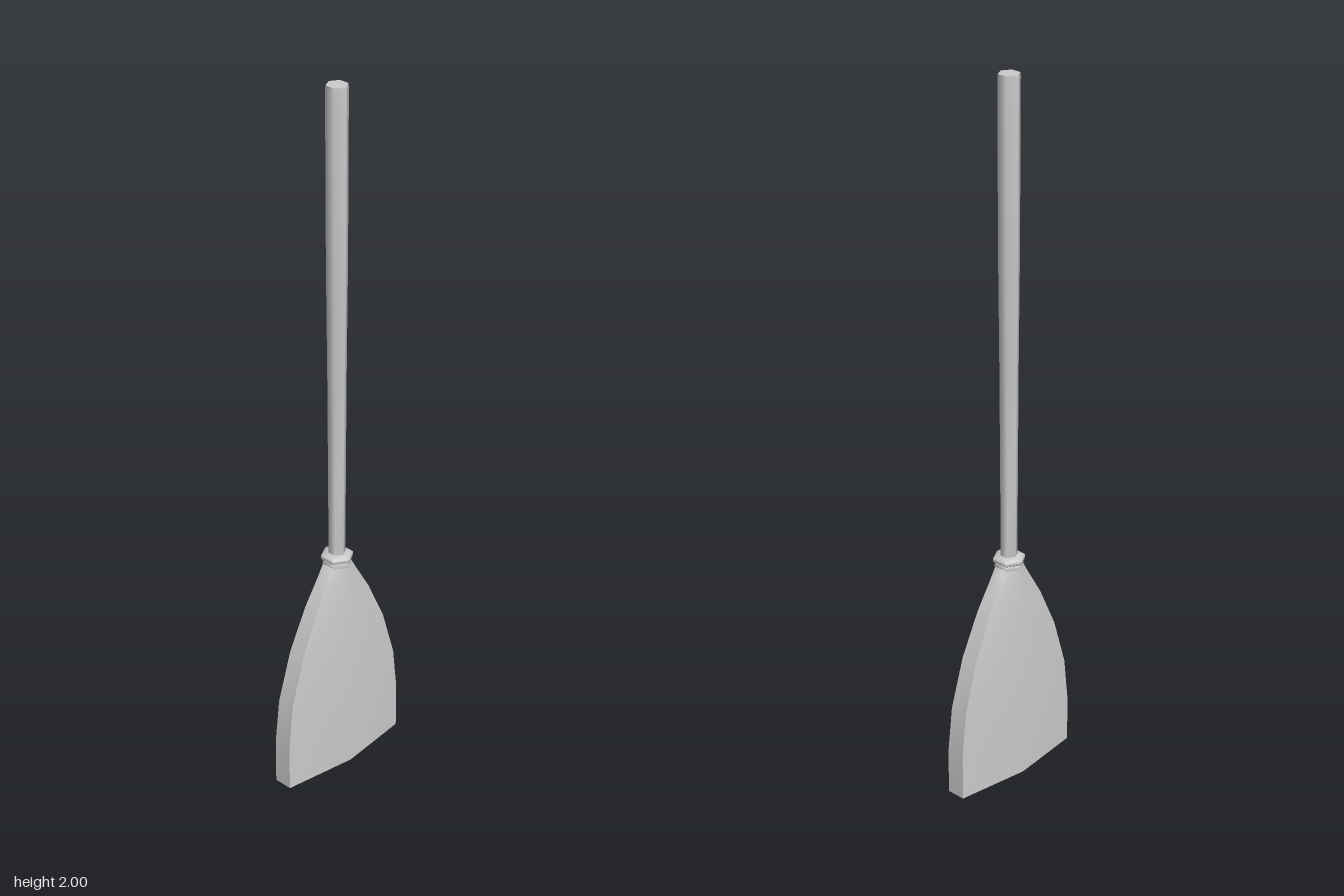
import * as THREE from 'three';
import { toCreasedNormals } from 'three/addons/utils/BufferGeometryUtils.js';

// Skins six-sided sections [y, halfWidth, ridgeDepth, cornerDepth], listed bottom to top.
function loftHex(sections) {
  const pos = [], idx = [];
  for (const [y, w, d, c] of sections) {
    pos.push(0, y, d, w, y, c, w, y, -c, 0, y, -d, -w, y, -c, -w, y, c);
  }
  for (let s = 0; s < sections.length - 1; s++) {
    for (let i = 0; i < 6; i++) {
      const a = s * 6 + i, b = s * 6 + (i + 1) % 6;
      idx.push(a, b, b + 6, a, b + 6, a + 6);
    }
  }
  // end caps
  const top = (sections.length - 1) * 6;
  for (let i = 1; i < 5; i++) {
    idx.push(0, i + 1, i);
    idx.push(top, top + i, top + i + 1);
  }
  const g = new THREE.BufferGeometry();
  g.setAttribute('position', new THREE.Float32BufferAttribute(pos, 3));
  g.setIndex(idx);
  return toCreasedNormals(g, 1.15);
}

// Regular hexagon section with its points towards front and back
const hex = (y, r) => [y, r * 0.866, r, r * 0.5];

export function createModel() {
  const group = new THREE.Group();
  const material = new THREE.MeshStandardMaterial({ color: 0xcccccc });
  const add = (name, sections) => {
    const mesh = new THREE.Mesh(loftHex(sections), material);
    mesh.name = name;
    group.add(mesh);
  };

  // slightly tapered stick
  add('handle', [hex(0.62, 0.023), hex(1.2, 0.026), hex(1.53, 0.029), hex(1.99, 0.03), hex(2, 0.029)]);

  // two binding rings where the stick meets the bristles
  add('upperBinding', [hex(0.643, 0.037), hex(0.648, 0.045), hex(0.657, 0.045), hex(0.664, 0.036)]);
  add('lowerBinding', [hex(0.626, 0.035), hex(0.631, 0.04), hex(0.638, 0.04), hex(0.643, 0.037)]);

  // flared flat bristle head
  add('bristles', [
    [0, 0.211, 0.054, 0.027],
    [0.13, 0.211, 0.053, 0.027],
    [0.26, 0.197, 0.051, 0.026],
    [0.4, 0.155, 0.047, 0.025],
    [0.52, 0.1, 0.042, 0.022],
    [0.6, 0.053, 0.038, 0.019],
    [0.638, 0.032, 0.036, 0.018],
  ]);

  return group;
}
